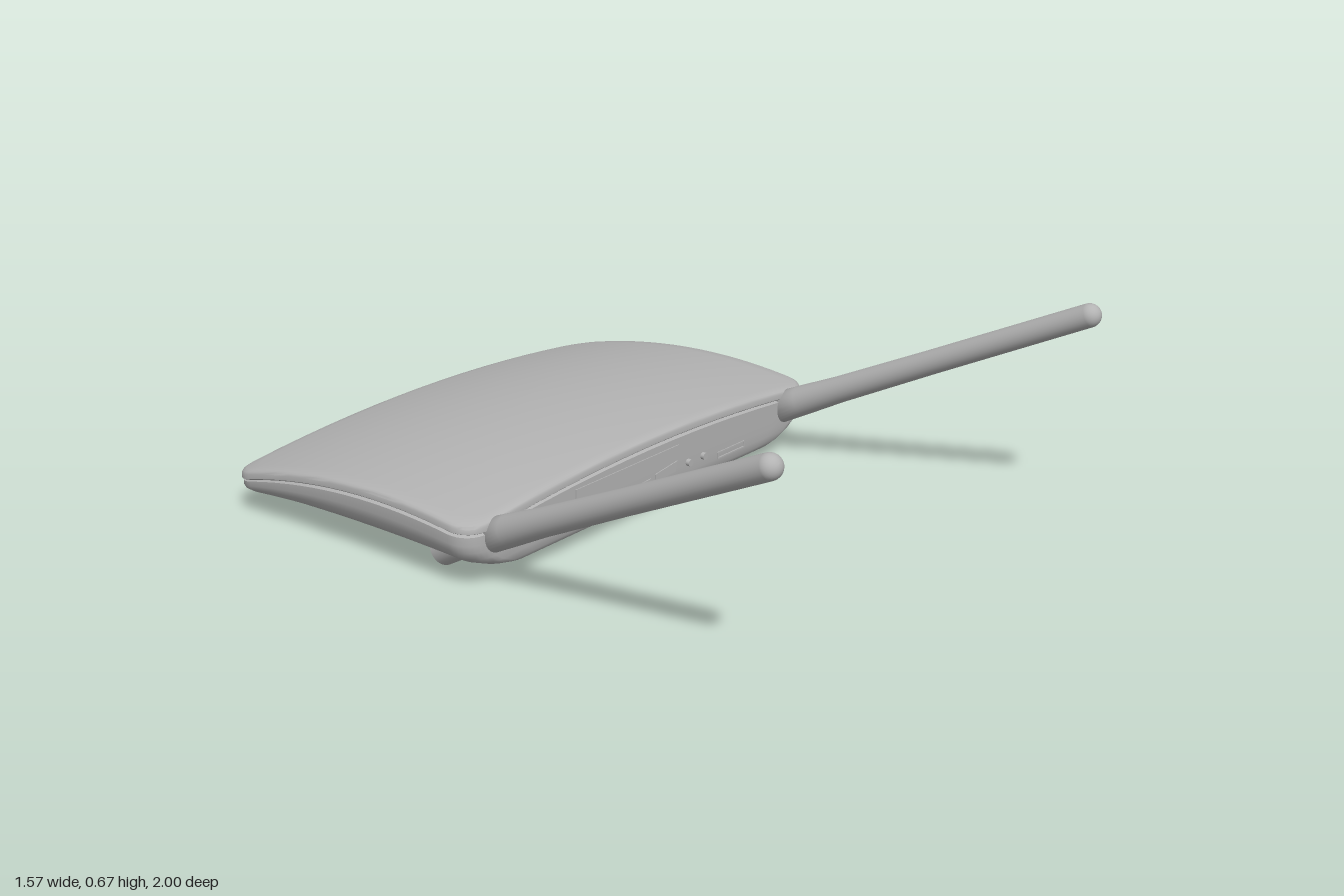
import * as THREE from 'three';
import { toCreasedNormals } from 'three/addons/utils/BufferGeometryUtils.js';

const CZ = -0.51;      // centre of the housing in z
const FRONT = -0.025;  // front panel plane

// Height of the arched cover above any point
function coverY(x, z) {
  const u = -z - 0.4;
  return 0.27 - 0.0245 * u - 0.237 * u * u - 0.05 * (x / 0.77) ** 2;
}

// Rounded rectangle, counter-clockwise seen from above, with sampled edges
function outline(w, d, r) {
  const arcs = [];
  [[1, 1], [-1, 1], [-1, -1], [1, -1]].forEach(([sx, sz], q) => {
    const arc = [];
    for (let i = 0; i <= 8; i++) {
      const a = (q + i / 8) * Math.PI / 2;
      arc.push([sx * (w - r) + r * Math.cos(a), -sz * (d - r) - r * Math.sin(a)]);
    }
    arcs.push(arc);
  });
  const pts = [];
  arcs.forEach((arc, q) => {
    pts.push(...arc);
    const a = arc[8], b = arcs[(q + 1) % 4][0];
    for (let i = 1; i < 14; i++) {
      const t = i / 14;
      pts.push([a[0] + (b[0] - a[0]) * t, a[1] + (b[1] - a[1]) * t]);
    }
  });
  return pts;
}

// Joins rings (half width, half depth, height rule, scale) into a skin
function loft(rings) {
  const pos = [], index = [];
  let n = 0;
  for (const { w, d, y, s = 1 } of rings) {
    const pts = outline(w, d, 0.08);
    n = pts.length;
    for (const [px, pz] of pts) {
      const x = px * s, z = CZ + pz * s;
      pos.push(x, y(x, z), z);
    }
  }
  for (let i = 0; i < rings.length - 1; i++) {
    for (let j = 0; j < n; j++) {
      const a = i * n + j, b = i * n + (j + 1) % n;
      index.push(a, b, b + n, a, b + n, a + n);
    }
  }
  const geo = new THREE.BufferGeometry();
  geo.setAttribute('position', new THREE.Float32BufferAttribute(pos, 3));
  geo.setIndex(index);
  return toCreasedNormals(geo, 0.75);
}

export function createModel() {
  const group = new THREE.Group();
  const grey = new THREE.MeshStandardMaterial({ color: 0xb3b3b3 });
  grey.name = 'grey plastic';
  const add = (name, geo, x = 0, y = 0, z = 0) => {
    const mesh = new THREE.Mesh(geo, grey);
    mesh.name = name;
    mesh.position.set(x, y, z);
    group.add(mesh);
    return mesh;
  };

  // Lower tray: flat bottom, sides curling up to the seam under the cover
  const trayY = (t) => (x, z) => 0.04 + t * (coverY(x, z) - 0.028 - 0.04);
  const tray = [
    [0.58, 0.465, 0, 0.001], [0.58, 0.465, 0], [0.63, 0.475, 0.03], [0.67, 0.482, 0.11],
    [0.715, 0.485, 0.25], [0.745, 0.486, 0.4], [0.762, 0.486, 0.58], [0.768, 0.486, 0.75],
    [0.768, 0.486, 0.94], [0.752, 0.472, 0.95], [0.752, 0.472, 1.03],
  ];
  add('tray', loft(tray.map(([w, d, t, s]) => ({ w, d, s, y: trayY(t) }))));

  // Arched cover with a thin rim
  const lift = (h) => (x, z) => coverY(x, z) + h;
  const cover = [
    [0.74, 0.46, -0.028], [0.766, 0.486, -0.028], [0.77, 0.49, -0.024],
    [0.77, 0.49, -0.01], [0.767, 0.487, -0.003], [0.76, 0.48, 0],
  ].map(([w, d, h]) => ({ w, d, y: lift(h) }));
  for (const s of [0.95, 0.85, 0.7, 0.55, 0.4, 0.25, 0.1, 0.001]) {
    cover.push({ w: 0.76, d: 0.48, s, y: lift(0) });
  }
  add('cover', loft(cover));

  // Antennas: tapered rods with round tips, leaning outwards
  const up = new THREE.Vector3(0, 1, 0);
  for (const side of [-1, 1]) {
    const name = side > 0 ? 'left' : 'right';
    const start = new THREE.Vector3(side * 0.652, 0.14, -0.06);
    const span = new THREE.Vector3(side * 0.748, 0.635, 0.963).sub(start);
    const len = span.length();
    const profile = [[0, 0], [0.05, 0], [0.047, 0.1], [0.041, 0.25], [0.037, 0.6], [0.035, len]]
      .map(([r, y]) => new THREE.Vector2(r, y));
    for (let i = 1; i <= 8; i++) {
      const a = i / 8 * Math.PI / 2;
      profile.push(new THREE.Vector2(0.035 * Math.cos(a), len + 0.035 * Math.sin(a)));
    }
    const rod = add(name + 'Antenna', new THREE.LatheGeometry(profile, 28), start.x, start.y, start.z);
    rod.quaternion.setFromUnitVectors(up, span.normalize());

    // Feet: slanted pegs below the front corners
    const foot = add(name + 'Foot', new THREE.CylinderGeometry(0.05, 0.05, 0.12, 28),
      side * 0.635, 0.073, -0.203);
    foot.quaternion.setFromUnitVectors(up, new THREE.Vector3(0, 0.5, 0.866));
  }

  // Front panel details
  const plate = (name, x0, x1, y0, y1) => add(name,
    new THREE.BoxGeometry(x1 - x0, y1 - y0, 0.008), (x0 + x1) / 2, (y0 + y1) / 2, FRONT);
  const disc = (name, x, y, r, depth) => {
    add(name, new THREE.CylinderGeometry(r, r, depth, 24), x, y, FRONT + depth / 2 - 0.003)
      .rotation.x = Math.PI / 2;
  };
  plate('powerJackRightEdge', -0.508, -0.503, 0.085, 0.165);
  plate('powerJackLeftEdge', -0.443, -0.438, 0.085, 0.165);
  add('powerJackRing', new THREE.TorusGeometry(0.023, 0.003, 8, 24), -0.473, 0.13, FRONT);
  disc('powerJackPin', -0.473, 0.13, 0.008, 0.008);
  disc('powerButton', -0.39, 0.125, 0.028, 0.016);
  for (const x of [0.165, 0.235]) disc('smallButton', x, 0.115, 0.011, 0.016);

  // Port bay outline
  plate('portBayEdge', -0.337, -0.332, 0.083, 0.185);
  plate('portBayTop', -0.337, 0.122, 0.181, 0.185);
  plate('portBayBottom', -0.337, 0.122, 0.083, 0.087);

  // Stepped port latches growing towards the left
  const latches = [[-0.17, 0.055, 0.1, 0.008], [-0.097, 0.09, 0.1, 0.017], [0.012, 0.1, 0.1, 0.036]];
  for (const [x, w, y, h] of latches) {
    const shape = new THREE.Shape([[0, 0], [w - 0.008, 0.004], [w, h], [0, h * 0.65]]
      .map(([a, b]) => new THREE.Vector2(a, b)));
    add('portLatch', new THREE.ExtrudeGeometry(shape, { depth: 0.006, bevelEnabled: false }),
      x, y, FRONT - 0.002);
  }

  // Slot frame
  plate('slotTop', 0.305, 0.437, 0.1, 0.104);
  plate('slotBottom', 0.305, 0.437, 0.082, 0.086);
  plate('slotRightEnd', 0.305, 0.309, 0.086, 0.1);
  plate('slotLeftEnd', 0.433, 0.437, 0.086, 0.1);

  return group;
}
